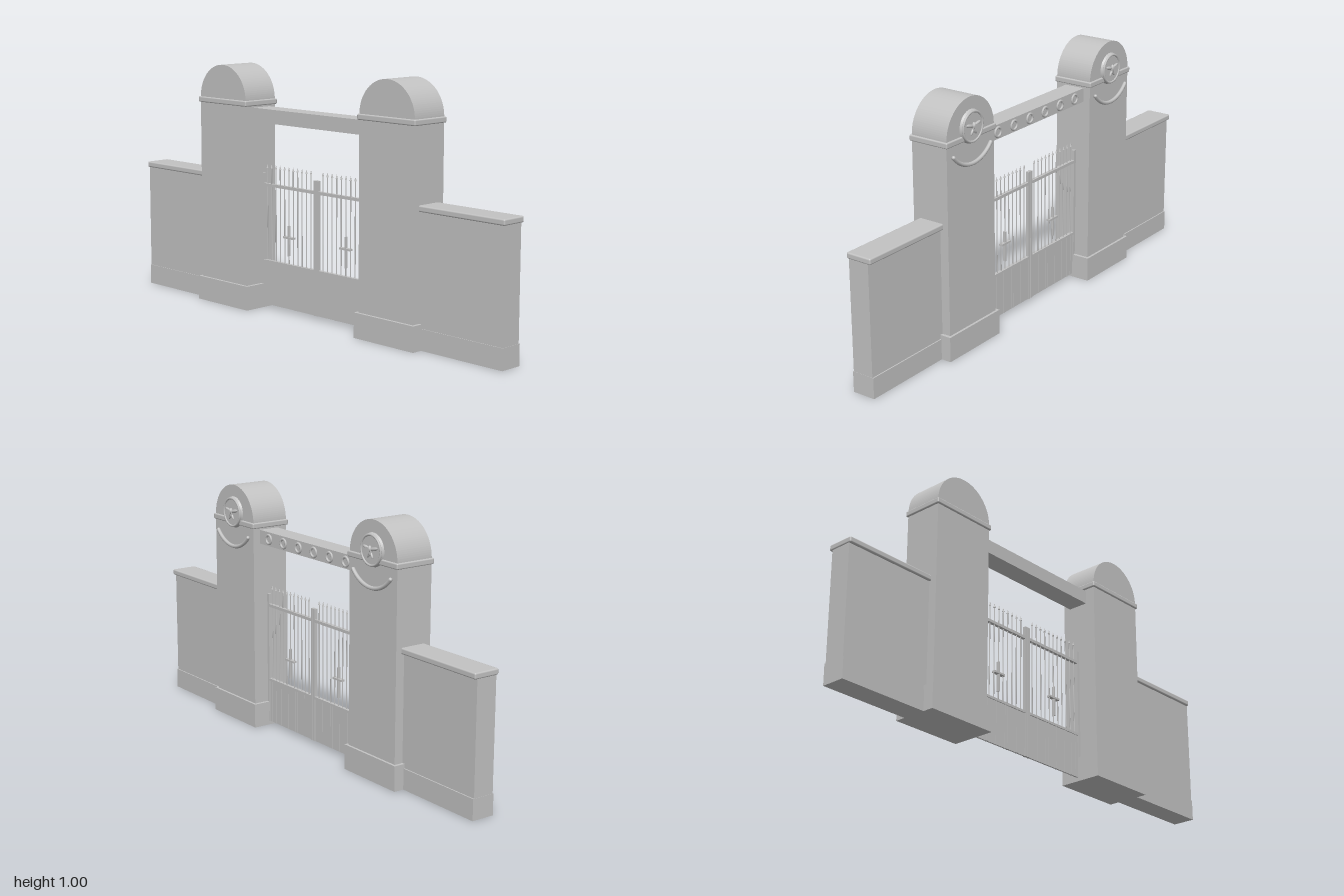
import * as THREE from 'three';
import { RoundedBoxGeometry } from 'three/addons/geometries/RoundedBoxGeometry.js';

const stone = new THREE.MeshStandardMaterial({ color: 0xc2c2c2 });
stone.name = 'light grey';

function add(parent, name, geometry, x = 0, y = 0, z = 0) {
  const mesh = new THREE.Mesh(geometry, stone);
  mesh.name = name;
  mesh.position.set(x, y, z);
  parent.add(mesh);
  return mesh;
}

// Box given by its limits; a radius rounds its edges
function block(parent, name, [x0, x1], [y0, y1], [z0, z1], radius = 0) {
  const size = [x1 - x0, y1 - y0, z1 - z0];
  const geometry = radius
    ? new RoundedBoxGeometry(...size, 2, radius)
    : new THREE.BoxGeometry(...size);
  return add(parent, name, geometry, (x0 + x1) / 2, (y0 + y1) / 2, (z0 + z1) / 2);
}

// Round medallion with a winged relief, on the back of a pillar
function makeMedallion(y) {
  const medallion = new THREE.Group();
  medallion.name = 'medallion';
  medallion.position.set(0, y, -0.07);
  add(medallion, 'medallionDisc', new THREE.CylinderGeometry(0.06, 0.066, 0.016, 40).rotateX(-Math.PI / 2), 0, 0, -0.004);
  add(medallion, 'medallionRim', new THREE.TorusGeometry(0.057, 0.005, 8, 40), 0, 0, -0.011);
  for (const side of [-1, 1]) {
    const wing = add(medallion, 'reliefWing', new THREE.SphereGeometry(1, 12, 8), side * 0.021, 0.007, -0.014);
    wing.scale.set(0.023, 0.007, 0.006);
    wing.rotation.z = side * 0.25;
    const foot = add(medallion, 'reliefFoot', new THREE.SphereGeometry(1, 10, 8), side * 0.009, -0.018, -0.014);
    foot.scale.set(0.005, 0.014, 0.005);
    foot.rotation.z = side * 0.5;
  }
  const body = add(medallion, 'reliefBody', new THREE.SphereGeometry(1, 12, 8), 0, -0.002, -0.016);
  body.scale.set(0.008, 0.02, 0.009);
  add(medallion, 'reliefBoss', new THREE.CylinderGeometry(0.015, 0.005, 0.014, 10).rotateX(-Math.PI / 2), 0, 0.0, -0.024);
  return medallion;
}

// Round-topped pillar, centred on x = 0
function makePillar() {
  const pillar = new THREE.Group();
  pillar.name = 'pillar';
  const outline = new THREE.Shape();
  outline.moveTo(-0.14, 0);
  outline.lineTo(0.14, 0);
  outline.lineTo(0.14, 0.86);
  outline.absarc(0, 0.86, 0.14, 0, Math.PI, false);
  outline.closePath();
  add(pillar, 'pillarShaft', new THREE.ExtrudeGeometry(outline, { depth: 0.16, bevelEnabled: false, curveSegments: 28 }), 0, 0, -0.07);
  block(pillar, 'pillarBase', [-0.153, 0.153], [0, 0.1], [-0.08, 0.102]);
  block(pillar, 'pillarCollar', [-0.147, 0.147], [0.839, 0.862], [-0.077, 0.097], 0.005);
  pillar.add(makeMedallion(0.888));

  // Curved moulding below the medallion
  const points = [];
  for (let i = 0; i <= 16; i++) {
    const a = THREE.MathUtils.lerp(-0.88, 0.88, i / 16);
    points.push(new THREE.Vector3(0.142 * Math.sin(a), 0.888 - 0.142 * Math.cos(a), 0));
  }
  const curve = new THREE.CatmullRomCurve3(points);
  add(pillar, 'curvedMoulding', new THREE.TubeGeometry(curve, 32, 0.008, 8), 0, 0, -0.077);
  for (const end of [points[0], points[16]]) {
    add(pillar, 'mouldingEnd', new THREE.SphereGeometry(0.008, 8, 6), end.x, end.y, -0.077);
  }
  return pillar;
}

// Side wall with plinth and rounded coping; side is -1 or 1
function makeWall(side) {
  const wall = new THREE.Group();
  wall.name = 'sideWall';
  const span = (a, b) => (side > 0 ? [a, b] : [-b, -a]);
  block(wall, 'wallBody', span(0.59, 0.997), [0, 0.525], [-0.033, 0.055]);
  block(wall, 'wallPlinth', span(0.59, 0.998), [0, 0.083], [-0.038, 0.058]);
  block(wall, 'wallCoping', span(0.58, 1), [0.521, 0.545], [-0.046, 0.064], 0.006);
  return wall;
}

// One gate leaf; side is -1 or 1
function makeLeaf(side) {
  const leaf = new THREE.Group();
  leaf.name = 'gateLeaf';
  const span = (a, b) => (side > 0 ? [a, b] : [-b, -a]);
  block(leaf, 'gatePanel', span(0.004, 0.312), [0.015, 0.195], [-0.003, 0.003]);
  block(leaf, 'lowerRail', span(0.004, 0.318), [0.192, 0.202], [-0.007, 0.007]);
  block(leaf, 'upperRail', span(0.004, 0.318), [0.509, 0.521], [-0.007, 0.007]);
  block(leaf, 'meetingPost', span(0.002, 0.013), [0.015, 0.563], [-0.007, 0.007]);
  block(leaf, 'hingePost', span(0.306, 0.318), [0.015, 0.563], [-0.007, 0.007]);

  // Upright bars with spear tips
  const count = 11;
  for (let i = 0; i < count; i++) {
    const x = side * (0.034 + i * 0.0256);
    add(leaf, 'gateBar', new THREE.CylinderGeometry(0.0024, 0.0024, 0.57, 6), x, 0.3, 0);
    add(leaf, 'spearTip', new THREE.ConeGeometry(0.0048, 0.018, 6), x, 0.593, 0);
  }
  // Narrow strips dividing the lower panel
  for (const x of [0.06, 0.11, 0.125, 0.175, 0.225, 0.265, 0.29]) {
    block(leaf, 'panelStrip', span(x - 0.002, x + 0.002), [0.015, 0.195], [-0.005, 0.005]);
  }
  // Cross-shaped handle
  block(leaf, 'handleUpright', span(0.16, 0.166), [0.235, 0.36], [-0.006, 0.006]);
  block(leaf, 'handleBar', span(0.132, 0.19), [0.307, 0.315], [-0.008, 0.008]);
  return leaf;
}

export function createModel() {
  const model = new THREE.Group();
  model.name = 'gateway';

  for (const side of [-1, 1]) {
    const pillar = makePillar();
    pillar.position.x = side * 0.46;
    model.add(pillar, makeWall(side), makeLeaf(side));
  }

  // Beam across the opening, with a row of rings on its back
  block(model, 'beam', [-0.325, 0.325], [0.775, 0.832], [-0.039, 0.047]);
  for (let i = 0; i < 6; i++) {
    add(model, 'beamRing', new THREE.TorusGeometry(0.018, 0.005, 8, 24), -0.255 + i * 0.102, 0.803, -0.04);
  }
  return model;
}
